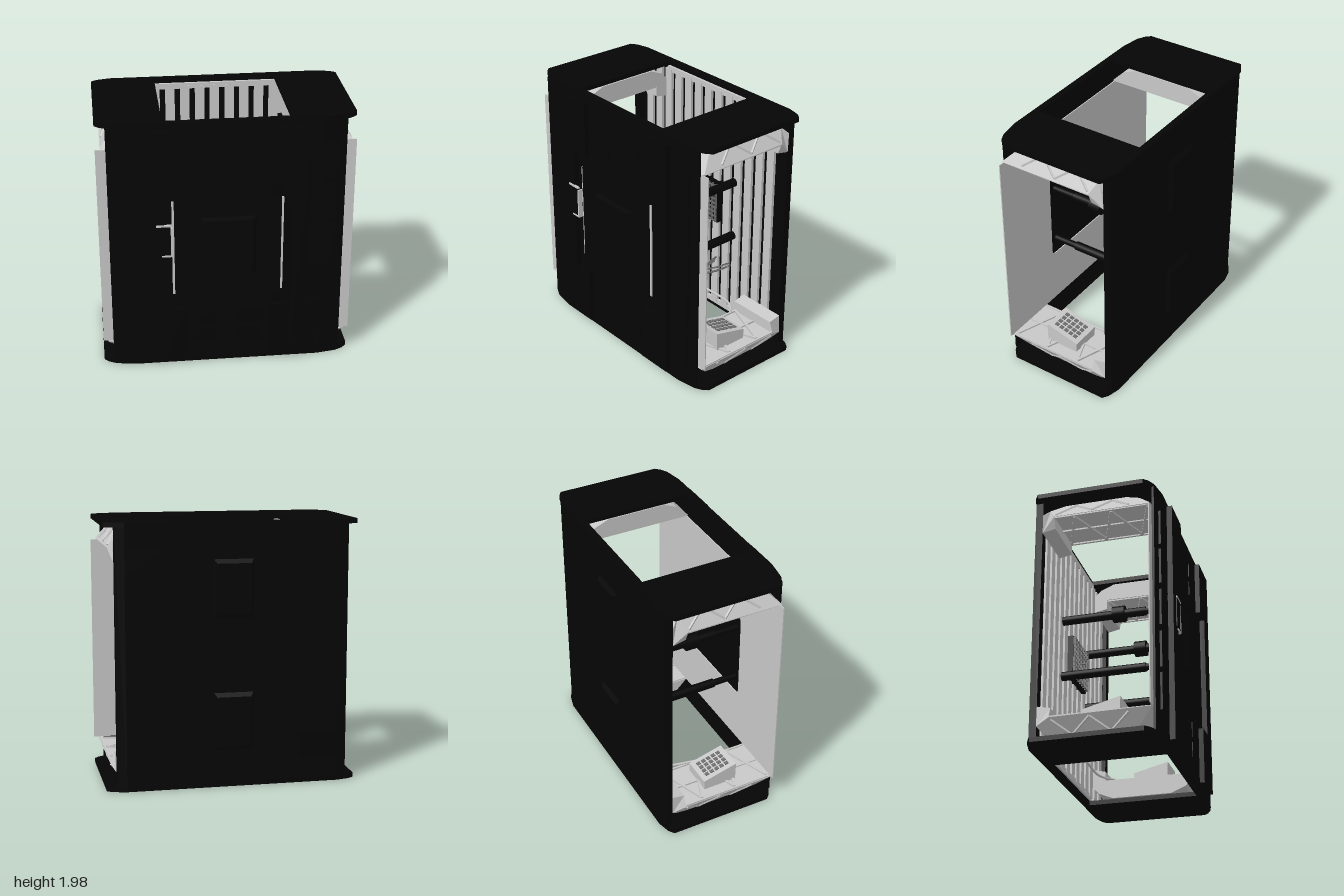
import * as THREE from 'three';

const mat = (name, color) => Object.assign(new THREE.MeshStandardMaterial({ color }), { name });

export function createModel() {
  const model = new THREE.Group();
  model.name = 'openContainer';
  const black = mat('blackShell', 0x050505);
  const grey = mat('lightGreyLining', 0xc8c8c8);
  const steel = mat('steel', 0x6e6e6e);

  const add = (name, geo, m) => {
    const mesh = new THREE.Mesh(geo, m);
    mesh.name = name;
    model.add(mesh);
    return mesh;
  };
  // box given by its limits
  const box = (name, m, x0, x1, y0, y1, z0, z1) => {
    const mesh = add(name, new THREE.BoxGeometry(x1 - x0, y1 - y0, z1 - z0), m);
    mesh.position.set((x0 + x1) / 2, (y0 + y1) / 2, (z0 + z1) / 2);
  };
  // square bar between two points
  const bar = (name, m, a, b, w) => {
    const p = new THREE.Vector3(...a), q = new THREE.Vector3(...b);
    const mesh = add(name, new THREE.BoxGeometry(w, w, p.distanceTo(q)), m);
    mesh.position.copy(p).add(q).multiplyScalar(0.5);
    mesh.lookAt(q);
  };
  const shapeOf = (pts) => new THREE.Shape(pts.map(([a, b]) => new THREE.Vector2(a, b)));
  const extrude = (shape, depth) => new THREE.ExtrudeGeometry(shape, { depth, bevelEnabled: false });
  // plan outline, given as the +x half and mirrored, raised from y0 to y1
  const plan = (half, y0, y1, hole) => {
    const pts = half.map(([x, z]) => [x, -z]);
    const s = shapeOf([...pts, ...pts.map(([x, z]) => [-x, z]).reverse()]);
    if (hole) s.holes.push(new THREE.Path(hole.map(([x, z]) => new THREE.Vector2(x, -z))));
    return extrude(s, y1 - y0).rotateX(-Math.PI / 2).translate(0, y0, 0);
  };
  // raised block whose outer (+z) face is smaller than its base
  const taperedBlock = (w, h, d, kx, ky) => {
    const g = new THREE.BoxGeometry(w, h, d);
    const p = g.attributes.position;
    for (let i = 0; i < p.count; i++) if (p.getZ(i) > 0) p.setXY(i, p.getX(i) * kx, p.getY(i) * ky);
    g.computeVertexNormals();
    return g;
  };

  // top and bottom plates with the large opening
  const rim = [[0.7, 0.45], [0.85, 0.425], [0.91, 0.395], [0.945, 0.36], [0.945, -0.45], [0.9, -0.48], [0.8, -0.505]];
  const hole = [[-0.465, 0.4], [0.465, 0.4], [0.465, -0.455], [-0.465, -0.455]];
  add('bottomPlate', plan(rim, 0.01, 0.045, hole), black);
  add('topPlate', plan(rim, 1.957, 1.992, hole), black);

  // front wall, and back wall with a shallow recess inside
  add('frontWall', plan([[0.87, 0.408], [0.87, 0.425], [0.7, 0.455], [0.32, 0.46]], 0.04, 1.965), black);
  add('backWall', plan([[0.8, -0.462], [0.8, -0.43], [0.87, -0.43], [0.87, -0.485], [0.8, -0.503]], 0.04, 1.96), black);

  // raised housings and thin plates on the back
  for (const y of [0.51, 1.5]) {
    add('backHousing', taperedBlock(0.3, 0.44, 0.03, 0.85, 0.85).rotateY(Math.PI), black).position.set(0, y, -0.515);
  }
  for (const x of [-0.65, 0.65]) {
    for (const y of [0.3, 0.65, 1, 1.35, 1.7]) {
      box('backPlate', black, x - 0.15, x + 0.15, y - 0.1, y + 0.1, -0.507, -0.5);
    }
  }

  // front columns, small plates and door trim
  for (const s of [-1, 1]) {
    const col = (x0, x1, y0, y1, z) =>
      box('frontColumn', black, Math.min(s * x0, s * x1), Math.max(s * x0, s * x1), y0, y1, 0.44, z);
    col(0.47, 0.61, 0.06, 1.94, 0.498);
    col(0.32, 0.47, 0.06, 0.5, 0.498);
    col(0.32, 0.47, 1.5, 1.94, 0.498);
    for (const y of [0.35, 0.67, 1, 1.33, 1.65]) col(0.61, 0.8, y - 0.14, y + 0.14, 0.457);
    for (const y of [0.24, 0.4, 1.6, 1.76]) col(0.08, 0.27, y - 0.06, y + 0.06, 0.466);
    box('doorEdgeTrim', grey, s * 0.404 - 0.009, s * 0.404 + 0.009, 0.62, 1.385, 0.45, 0.468);
  }
  box('frontDoor', black, -0.396, 0.396, 0.6, 1.39, 0.45, 0.474);
  add('doorBulge', taperedBlock(0.44, 0.48, 0.05, 0.82, 0.94), black).position.set(0, 1.01, 0.488);

  // door handle
  box('handleArm', grey, -0.53, -0.415, 1.203, 1.216, 0.49, 0.508);
  box('handleGrip', black, -0.53, -0.424, 0.97, 1.203, 0.49, 0.506);
  box('handleFoot', grey, -0.49, -0.415, 0.956, 0.966, 0.49, 0.508);
  box('handleEdge', grey, -0.424, -0.412, 0.956, 1.19, 0.47, 0.508);

  // front lining sheet with a rounded door cutout
  const sheet = shapeOf([[-0.945, 0.21], [0.945, 0.21], [0.945, 1.79], [-0.945, 1.79]]);
  const cut = new THREE.Path();
  const w = 0.385, b = 0.64, t = 1.36, r = 0.05;
  cut.moveTo(-w + r, b).lineTo(w - r, b).quadraticCurveTo(w, b, w, b + r).lineTo(w, t - r)
    .quadraticCurveTo(w, t, w - r, t).lineTo(-w + r, t).quadraticCurveTo(-w, t, -w, t - r)
    .lineTo(-w, b + r).quadraticCurveTo(-w, b, -w + r, b);
  sheet.holes.push(cut);
  add('frontLining', extrude(sheet, 0.008), grey).position.z = 0.399;

  // vertical slats and rails in the recess of the back wall
  for (let i = -6; i <= 6; i++) {
    box('backSlat', grey, i * 0.115 - 0.036, i * 0.115 + 0.036, 0.07, 1.93, -0.464, -0.44);
  }
  for (const y of [0.07, 1.93]) box('slatRail', grey, -0.47, 0.47, y - 0.022, y + 0.022, -0.464, -0.442);

  // end linings: troughs with sloped ends at floor and ceiling, braced by zigzag bars
  const profile = [[0.41, 1.8], [0.31, 1.9], [0.2, 1.945], [-0.27, 1.945], [-0.38, 1.9], [-0.43, 1.85],
    [-0.43, 1.7], [-0.33, 1.72], [-0.33, 1.805]];
  const outer = (y) => (y < 1.79 ? 0.87 : 0.91 - (y - 1.8) * 0.7);
  for (const sx of [-1, 1]) {
    for (const sy of [-1, 1]) {
      const up = (y) => (sy > 0 ? y : 2 - y);
      const trough = extrude(shapeOf(profile.map(([z, y]) => [-z, up(y)])), 1).rotateY(Math.PI / 2);
      const p = trough.attributes.position;
      for (let i = 0; i < p.count; i++) {
        const atEnd = (p.getX(i) > 0.5) === (sx > 0);
        p.setX(i, sx * (atEnd ? outer(up(p.getY(i))) : 0.475));
      }
      trough.computeVertexNormals();
      add('endLining', trough, grey);
      const brace = (name, a, c, width) =>
        bar(name, grey, [sx * a[0], up(a[1]), a[2]], [sx * c[0], up(c[1]), c[2]], width);
      for (let i = 0; i < 5; i++) {
        const za = 0.38 - i * 0.14, zb = za - 0.14;
        const [x0, x1] = i % 2 ? [0.5, 0.88] : [0.88, 0.5];
        brace('innerBrace', [x0, 1.797, za], [x1, 1.797, zb], 0.018);
        const [y0, y1] = i % 2 ? [1.82, 1.92] : [1.92, 1.82];
        if (i > 0) brace('endBrace', [outer(y0), y0, za], [outer(y1), y1, zb], 0.014);
      }
      for (const x of [0.49, 0.69, 0.895]) brace('edgeRail', [x, 1.8, 0.4], [x, 1.8, -0.33], 0.016);
    }
  }

  // four telescopic struts between the walls
  for (const x of [-0.315, 0.315]) {
    for (const y of [0.77, 1.235]) {
      const rod = (name, rad, z0, z1) =>
        add(name, new THREE.CylinderGeometry(rad, rad, z1 - z0, 16).rotateX(Math.PI / 2), black)
          .position.set(x, y, (z0 + z1) / 2);
      rod('strutSleeve', 0.034, -0.465, 0.215);
      rod('strutRod', 0.025, 0.2, 0.42);
      if (y > 1) rod('strutCollar', 0.062, -0.04, 0.055);
    }
  }

  // wall unit with a grille
  box('wallUnit', black, -0.17, 0.17, 0.83, 1.18, -0.465, -0.405);
  for (let i = 0; i < 9; i++) {
    const x = -0.16 + i * 0.04;
    box('grilleUpright', steel, x - 0.004, x + 0.004, 0.84, 1.17, -0.405, -0.385);
    const y = 0.85 + i * 0.038;
    box('grilleBar', steel, -0.17, 0.17, y - 0.004, y + 0.004, -0.4, -0.388);
  }
  for (const y of [0.96, 1.01]) box('unitHandleArm', steel, -0.006, 0.006, y - 0.005, y + 0.005, -0.39, -0.34);
  box('unitHandleGrip', steel, -0.006, 0.006, 0.96, 1.01, -0.35, -0.34);

  // hanging chains
  const linkGeo = new THREE.TorusGeometry(0.008, 0.0028, 5, 8).scale(1.6, 1, 1);
  for (const [x0, x1, depth, y] of [[0.12, 0.28, 0.25, 0.47], [0.13, 0.27, 0.19, 0.49], [0.11, 0.25, 0.21, 0.445]]) {
    const curve = new THREE.CatmullRomCurve3([[0, 0], [0.25, 0.6], [0.65, 1], [0.9, 0.6], [1, 0]]
      .map(([u, v]) => new THREE.Vector3(x0 + (x1 - x0) * u, y, -0.45 + depth * v)));
    for (let i = 0; i <= 26; i++) {
      const link = add('chainLink', linkGeo, steel);
      const d = curve.getTangentAt(i / 26);
      link.position.copy(curve.getPointAt(i / 26));
      link.rotation.set(i % 2 ? Math.PI / 2 : 0, Math.atan2(-d.z, d.x), 0, 'YXZ');
    }
  }

  // cable running across the floor
  const cable = new THREE.CatmullRomCurve3([[-0.5, -0.02], [-0.465, -0.2], [-0.43, -0.32], [-0.36, -0.355],
    [0, -0.352], [0.36, -0.355], [0.44, -0.32], [0.5, -0.26]].map(([x, z]) => new THREE.Vector3(x, 0.215, z)));
  add('cable', new THREE.TubeGeometry(cable, 60, 0.009, 8), grey);

  // sloped control boxes on the floor linings
  const deskShape = shapeOf([[-0.15, 0.175], [0.115, 0.175], [0.12, 0.275], [-0.155, 0.345]]);
  for (const s of [-1, 1]) {
    add('controlBox', extrude(deskShape, 0.24).rotateY(Math.PI / 2), grey).position.x = s * 0.68 - 0.12;
    for (let i = 0; i < 4; i++) {
      for (let j = 0; j < 5; j++) {
        const key = add('key', new THREE.BoxGeometry(0.028, 0.014, 0.03), steel);
        const z = 0.1 - j * 0.042;
        key.position.set(s * 0.68 - 0.066 + i * 0.044, 0.312 + (z - 0.025) * 0.2545, z);
        key.rotation.x = -0.25;
      }
    }
  }
  return model;
}
